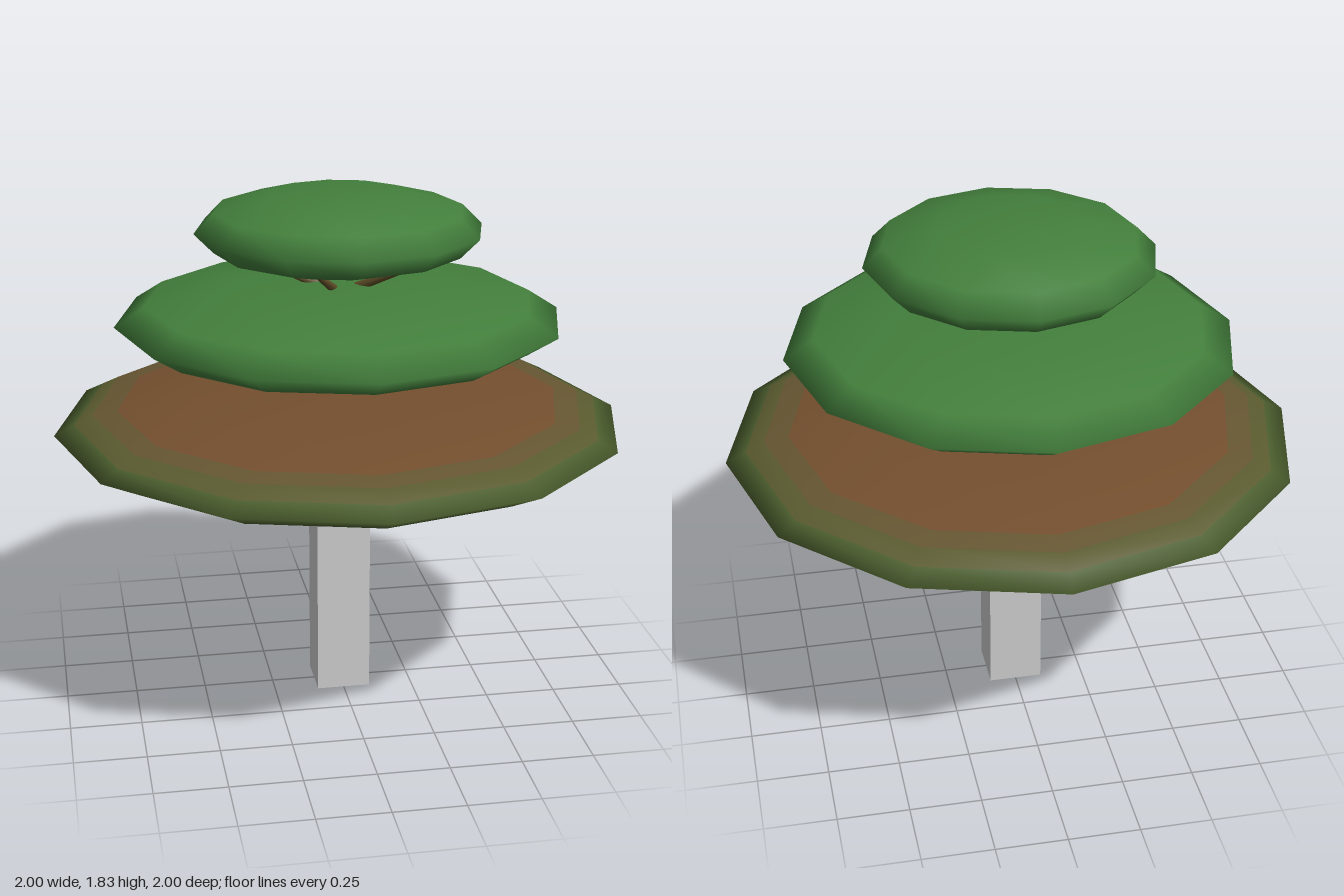
import * as THREE from 'three';

const material = (name, color) => {
  const m = new THREE.MeshStandardMaterial({ color });
  m.name = name;
  return m;
};

export function createModel() {
  const tree = new THREE.Group();
  tree.name = 'tieredTree';

  const green = material('leafGreen', 0x437f3c);
  const olive = material('olive', 0x4c5f2e);
  const oliveBrown = material('oliveBrown', 0x5b5b30);
  const ochre = material('ochreBrown', 0x665632);
  const brown = material('earthBrown', 0x744f2e);
  const bark = material('bark', 0x5f4d27);
  const stone = material('paleGrey', 0xcccccc);

  // One ring of a twelve-sided flattened ball, with smooth ellipsoid normals
  function band(radius, height, points, mat, name) {
    const geo = new THREE.LatheGeometry(points.map(([r, y]) => new THREE.Vector2(r * radius, y * height)), 12);
    const p = geo.attributes.position;
    const n = new THREE.Vector3();
    for (let i = 0; i < p.count; i++) {
      n.set(p.getX(i) / radius ** 2, p.getY(i) / height ** 2, p.getZ(i) / radius ** 2).normalize();
      geo.attributes.normal.setXYZ(i, n.x, n.y, n.z);
    }
    const mesh = new THREE.Mesh(geo, mat);
    mesh.name = name;
    return mesh;
  }

  // Profile from the bottom pole upwards, as unit radius and height
  const lower = [[0, -1], [0.5, -0.866], [0.866, -0.5], [1, 0]];
  const upper = [[0.866, 0.5], [0.5, 0.866], [0, 1]];

  const crown = (name, radius, y, height, bands) => {
    const group = new THREE.Group();
    group.name = name;
    group.position.y = y;
    bands.forEach(([pts, mat, part]) => group.add(band(radius, height, pts, mat, part)));
    tree.add(group);
  };

  // Foliage tiers; the lowest fades from olive at the rim to brown on top
  crown('lowerFoliage', 1, 1, 0.135, [
    [[...lower, [0.93, 0.261]], olive, 'undersideAndRim'],
    [[[0.93, 0.261], [0.866, 0.5]], oliveBrown, 'outerRing'],
    [[[0.866, 0.5], [0.78, 0.586]], ochre, 'innerRing'],
    [[[0.78, 0.586], [0.5, 0.866], [0, 1]], brown, 'topSurface'],
  ]);
  crown('middleFoliage', 0.78, 1.378, 0.135, [[[...lower, ...upper], green, 'leaves']]);
  crown('topFoliage', 0.5, 1.692, 0.137, [[[...lower, ...upper], green, 'leaves']]);

  // Square trunk
  const trunk = new THREE.Mesh(new THREE.BoxGeometry(0.19, 1, 0.19), stone);
  trunk.name = 'trunk';
  trunk.position.y = 0.5;
  tree.add(trunk);

  // Five tapered branches under each tier
  function branches(name, turn, r0, y0, r1, y1, thick) {
    const group = new THREE.Group();
    group.name = name;
    const length = Math.hypot(r1 - r0, y1 - y0);
    for (let i = 0; i < 5; i++) {
      const a = THREE.MathUtils.degToRad(turn + i * 72);
      const start = new THREE.Vector3(r0 * Math.cos(a), y0, r0 * Math.sin(a));
      const end = new THREE.Vector3(r1 * Math.cos(a), y1, r1 * Math.sin(a));
      const mesh = new THREE.Mesh(new THREE.CylinderGeometry(thick * 0.45, thick, length, 8), bark);
      mesh.name = 'branch';
      mesh.position.copy(start).add(end).multiplyScalar(0.5);
      mesh.quaternion.setFromUnitVectors(new THREE.Vector3(0, 1, 0), end.sub(start).normalize());
      group.add(mesh);
    }
    tree.add(group);
  }
  branches('lowerBranches', 0, 0.09, 0.775, 0.62, 0.91, 0.022);
  branches('middleBranches', -15, 0, 1.115, 0.48, 1.29, 0.021);
  branches('topBranches', -30, 0, 1.465, 0.3, 1.6, 0.019);

  return tree;
}
